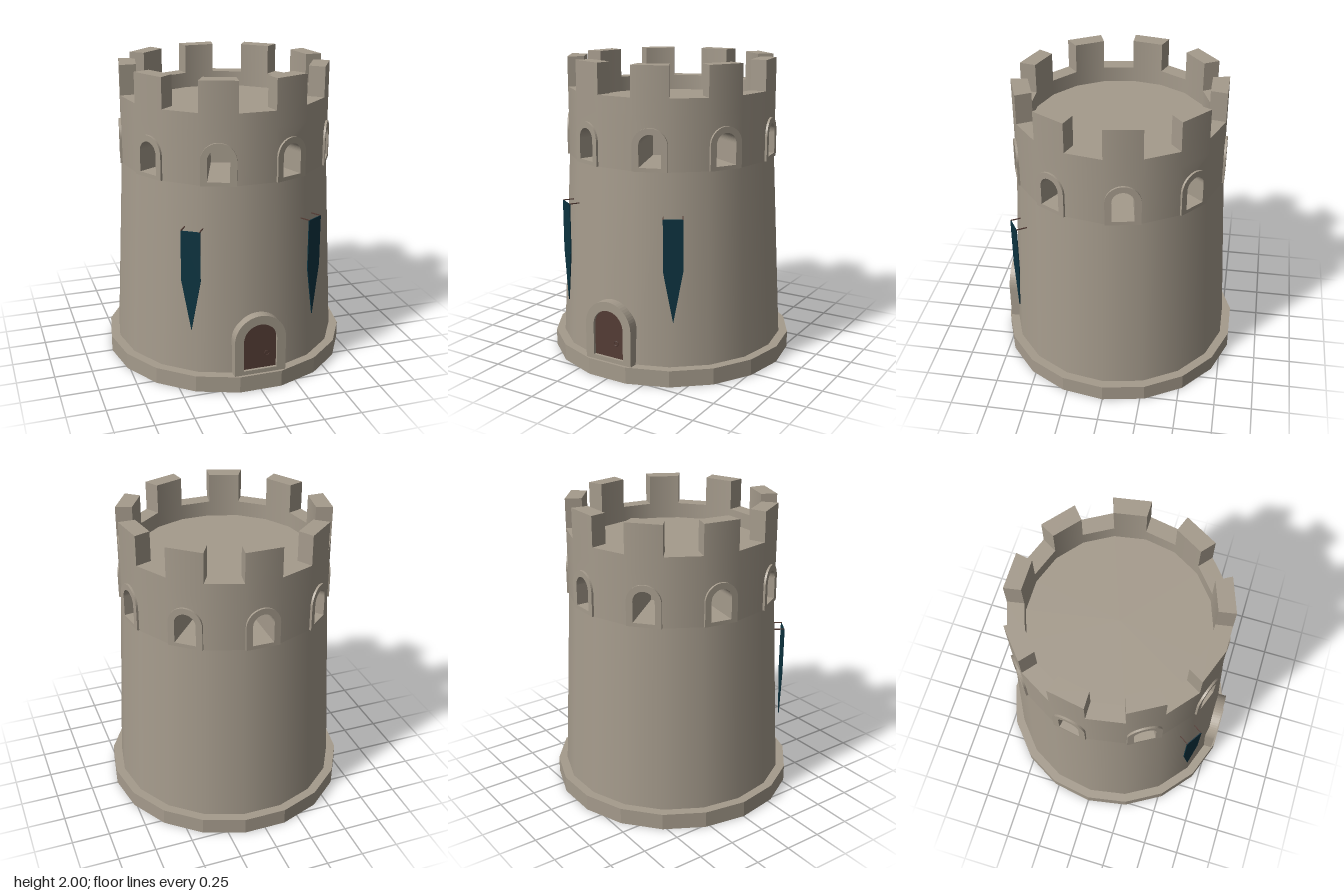
import * as THREE from 'three';

const SIDES = 18, STEP = (Math.PI * 2) / SIDES;
const R_TOP = 0.69, R_BOTTOM = 0.755, R_INNER = 0.582;
const Y_BASE = 0.11, Y_BEND = 1.355, Y_FLOOR = 1.7;
const APOTHEM = R_TOP * Math.cos(STEP / 2);

const stone = new THREE.MeshStandardMaterial({ color: 0xa59b8c });
stone.name = 'stone';
const wood = new THREE.MeshStandardMaterial({ color: 0x543c35 });
wood.name = 'doorWood';
const cloth = new THREE.MeshStandardMaterial({ color: 0x0c3340 });
cloth.name = 'bannerCloth';

function add(parent, name, geometry, material, x = 0, y = 0, z = 0) {
  const mesh = new THREE.Mesh(geometry, material);
  mesh.name = name;
  mesh.position.set(x, y, z);
  parent.add(mesh);
  return mesh;
}

// Round-headed outline: half width r, sill height, spring height
function arch(r, sill, spring) {
  const s = new THREE.Shape();
  s.moveTo(-r, sill);
  s.lineTo(r, sill);
  s.lineTo(r, spring);
  s.absarc(0, spring, r, 0, Math.PI, false);
  s.closePath();
  return s;
}

function extrude(shape, depth) {
  return new THREE.ExtrudeGeometry(shape, { depth, bevelEnabled: false, curveSegments: 14 });
}

// Makes the faces that follow the tower wall share radial normals
function roundNormals(g) {
  const p = g.attributes.position, n = g.attributes.normal;
  for (let i = 0; i < p.count; i++) {
    const r = Math.hypot(p.getX(i), p.getZ(i));
    const x = p.getX(i) / r, z = p.getZ(i) / r;
    const d = n.getX(i) * x + n.getZ(i) * z;
    if (Math.abs(d) > 0.9) n.setXYZ(i, x * Math.sign(d), 0, z * Math.sign(d));
  }
  return g;
}

// One flat side of the upper wall, with or without a window hole
function wallPanel(angle, hasWindow) {
  const w = R_TOP * Math.sin(STEP / 2);
  const s = new THREE.Shape([
    new THREE.Vector2(-w, Y_BEND), new THREE.Vector2(w, Y_BEND),
    new THREE.Vector2(w, Y_FLOOR), new THREE.Vector2(-w, Y_FLOOR)]);
  if (hasWindow) s.holes.push(arch(0.09, 1.367, 1.513));
  return roundNormals(new THREE.ShapeGeometry(s, 14).translate(0, 0, APOTHEM).rotateY(angle));
}

// One side of the parapet ring, rising to the given height
function parapetBlock(angle, top) {
  const at = (r, a) => new THREE.Vector2(r * Math.sin(a), -r * Math.cos(a));
  const a = angle - STEP / 2, b = angle + STEP / 2;
  const s = new THREE.Shape([at(R_TOP, a), at(R_TOP, b), at(R_INNER, b), at(R_INNER, a)]);
  return roundNormals(extrude(s, top - Y_FLOOR).rotateX(-Math.PI / 2).translate(0, Y_FLOOR, 0));
}

// Raised frame with a deep reveal closed at the back
function addWindow(parent, angle) {
  const g = new THREE.Group();
  g.name = 'window';
  g.rotation.y = angle;
  const depth = 0.415, back = APOTHEM + 0.014 - depth;
  const ring = arch(0.112, 1.355, 1.513);
  ring.holes.push(arch(0.07, 1.38, 1.515));
  add(g, 'windowFrame', extrude(ring, depth), stone, 0, 0, back);
  add(g, 'windowBack', new THREE.ShapeGeometry(arch(0.08, 1.37, 1.515), 14), stone, 0, 0, back + 0.002);
  parent.add(g);
}

// Pointed hanging cloth held off the wall by two thin rods
function addBanner(parent, angle) {
  const g = new THREE.Group();
  g.name = 'banner';
  g.rotation.y = angle;
  const w = 0.063, z = 0.763;
  const s = new THREE.Shape([
    new THREE.Vector2(-w, 1.08), new THREE.Vector2(-w, 0.75), new THREE.Vector2(0, 0.41),
    new THREE.Vector2(w, 0.75), new THREE.Vector2(w, 1.08)]);
  add(g, 'bannerCloth', extrude(s, 0.006), cloth, 0, 0, z - 0.003);
  for (const side of [-1, 1]) {
    add(g, 'bannerRod', new THREE.BoxGeometry(0.006, 0.006, 0.08), wood, side * (w - 0.003), 1.081, z - 0.037);
  }
  parent.add(g);
}

export function createModel() {
  const tower = new THREE.Group();
  tower.name = 'tower';

  // Faceted plinth
  const plinth = new THREE.CylinderGeometry(0.815, 0.815, Y_BASE, SIDES, 1, false, STEP / 2).toNonIndexed();
  plinth.computeVertexNormals();
  add(tower, 'plinth', plinth, stone, 0, Y_BASE / 2, 0);

  // Tapered lower wall
  const h = Y_BEND - Y_BASE;
  add(tower, 'lowerWall', new THREE.CylinderGeometry(R_TOP, R_BOTTOM, h, SIDES, 1, true, STEP / 2),
    stone, 0, Y_BASE + h / 2, 0);

  // Upper wall and parapet: windows sit below the merlons on every other side
  for (let i = 0; i < SIDES; i++) {
    const angle = i * STEP, odd = i % 2 === 1;
    add(tower, 'upperWall', wallPanel(angle, odd), stone);
    add(tower, odd ? 'merlon' : 'parapet', parapetBlock(angle, odd ? 2 : 1.805), stone);
    if (odd) addWindow(tower, angle);
  }

  // Roof floor inside the parapet
  add(tower, 'roofFloor', new THREE.CircleGeometry(0.6, SIDES).rotateX(-Math.PI / 2), stone, 0, Y_FLOOR + 0.002, 0);

  // Door with stone surround and ring handle
  const surround = arch(0.172, Y_BASE, 0.343);
  surround.holes.push(arch(0.112, 0.138, 0.343));
  add(tower, 'doorSurround', extrude(surround, 0.165), stone, 0, 0, 0.62);
  add(tower, 'door', extrude(arch(0.114, 0.136, 0.343), 0.009), wood, 0, 0, 0.757);
  add(tower, 'doorHandle', new THREE.TorusGeometry(0.016, 0.003, 6, 16), wood, 0.05, 0.24, 0.768);

  // Banners either side of the door
  addBanner(tower, -0.575);
  addBanner(tower, 0.555);

  return tower;
}
